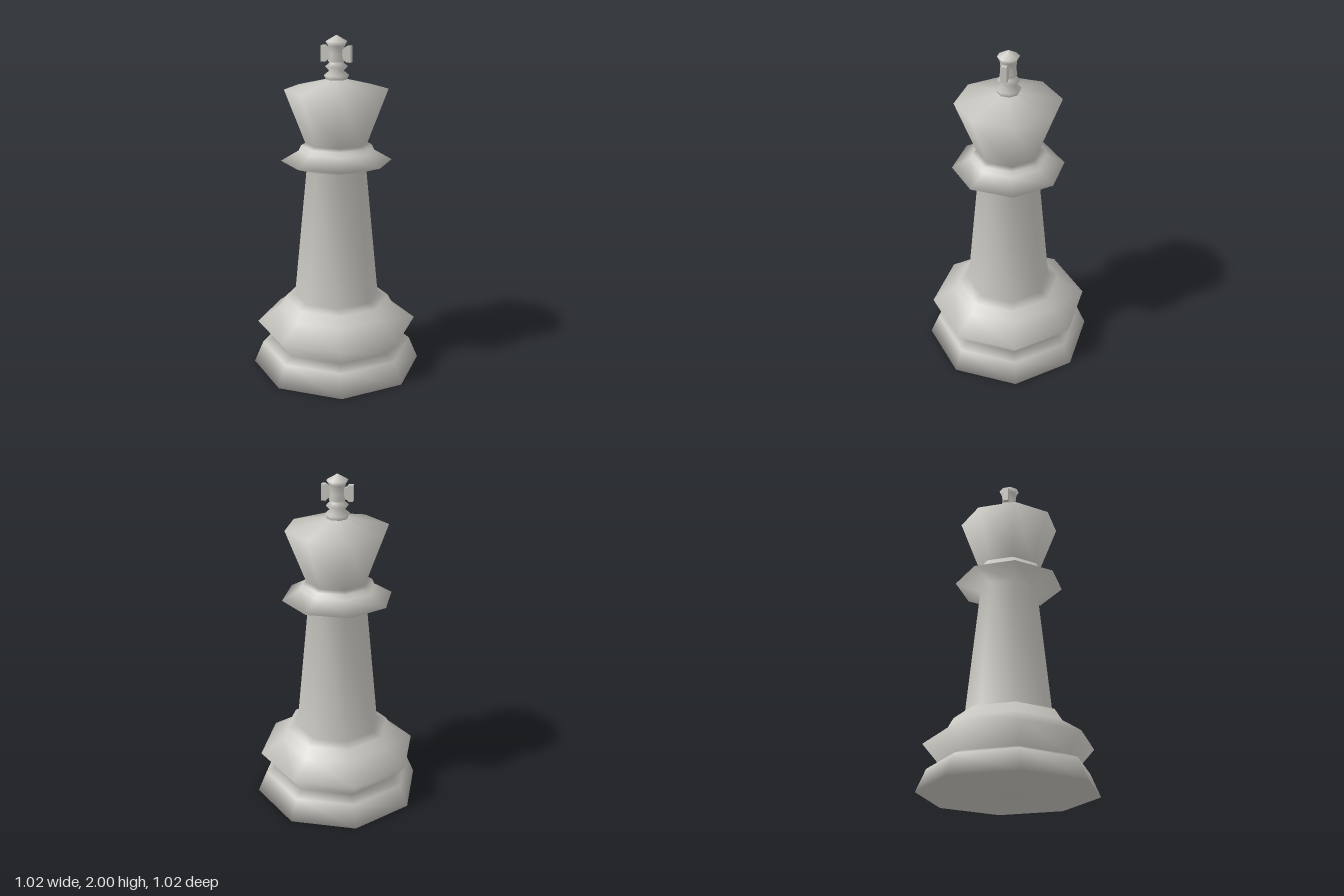
import * as THREE from 'three';

const SIDES = 8;

// Eight-sided turned part from [radius, height] pairs, listed bottom to top
function turned(name, profile, material) {
  const points = profile.map(([r, y]) => new THREE.Vector2(r, y));
  const mesh = new THREE.Mesh(new THREE.LatheGeometry(points, SIDES), material);
  mesh.name = name;
  return mesh;
}

export function createModel() {
  const group = new THREE.Group();
  group.name = 'chessKing';
  const stone = new THREE.MeshStandardMaterial({ color: 0xc8c6c0 });
  stone.name = 'pale stone';

  // Base, tapering shaft, collar and flared head
  group.add(turned('body', [
    [0, 0], [0.51, 0], [0.455, 0.13], [0.39, 0.16],
    [0.483, 0.27], [0.35, 0.36], [0.315, 0.425], [0.253, 0.445],
    [0.175, 1.23], [0.325, 1.28], [0.22, 1.34], [0.207, 1.37], [0.182, 1.385],
    [0.3, 1.695], [0, 1.765],
  ], stone));

  // Ringed finial that carries the cross
  group.add(turned('finial', [
    [0.06, 1.75], [0.072, 1.775], [0.042, 1.8], [0.065, 1.825], [0.04, 1.845],
    [0.048, 1.855], [0.042, 1.895], [0.047, 1.94], [0.062, 1.965], [0, 2],
  ], stone));

  // Cross arms, flaring outwards, aligned with a flat side of the finial
  const depth = 0.034;
  for (const side of [1, -1]) {
    const arm = new THREE.Shape([
      [0, -0.022], [0.045, -0.028], [0.065, -0.046], [0.089, -0.046],
      [0.089, 0.046], [0.065, 0.046], [0.045, 0.028], [0, 0.022],
    ].map(([x, y]) => new THREE.Vector2(side * x, y)));
    const geometry = new THREE.ExtrudeGeometry(arm, { depth, bevelEnabled: false });
    geometry.translate(0, 0, -depth / 2);
    const mesh = new THREE.Mesh(geometry, stone);
    mesh.name = side > 0 ? 'leftCrossArm' : 'rightCrossArm';
    mesh.position.y = 1.895;
    mesh.rotation.y = -Math.PI / SIDES;
    group.add(mesh);
  }
  return group;
}
